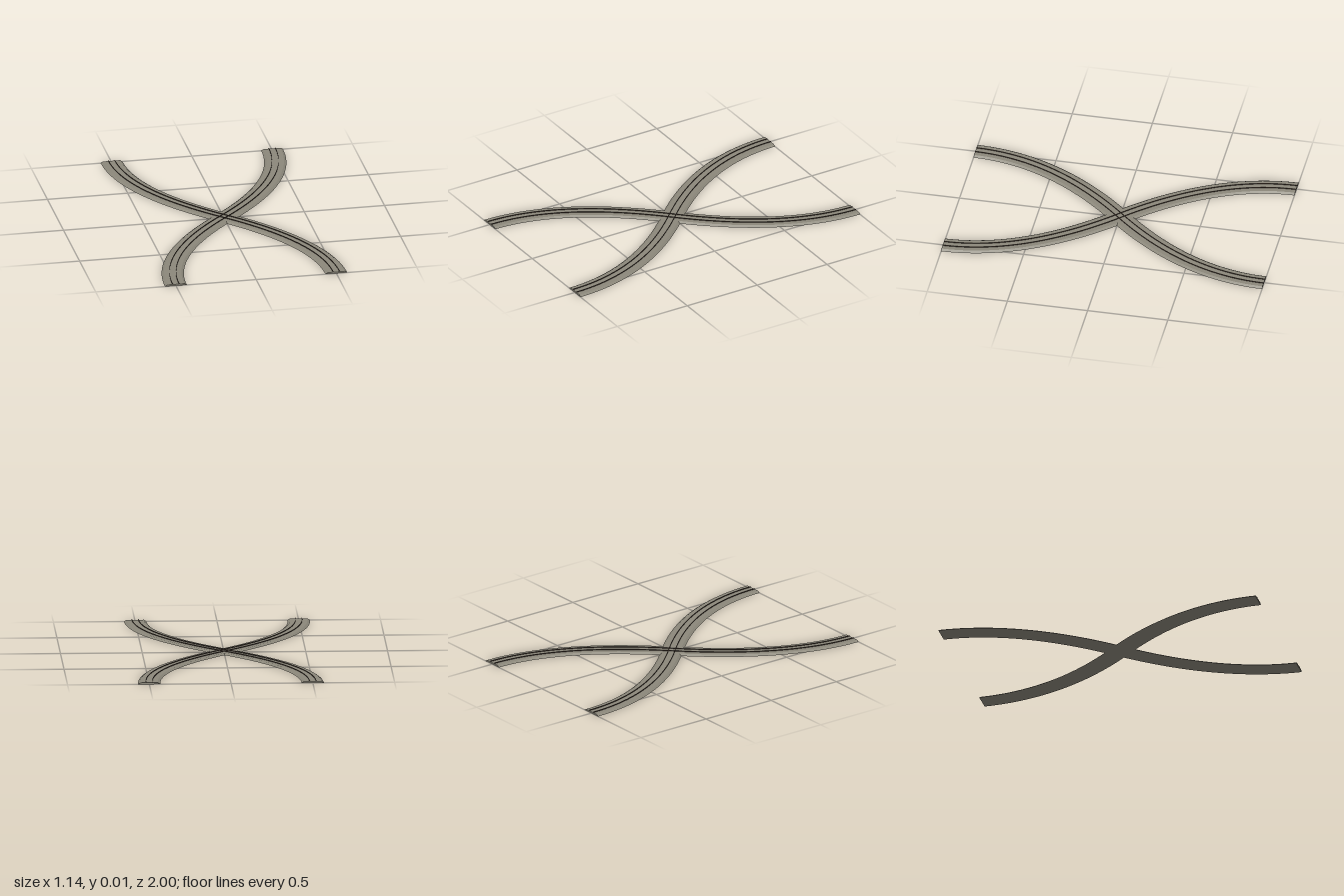
import * as THREE from 'three';

const STEPS = 48;

// S-shaped centre line made of two mirrored parabolas; side = 1 or -1
function pathPoint(z, side) {
  const k = 1 - Math.abs(z);
  const x = Math.sign(z) * (0.5 - 0.5 * k * k) * side;
  const slope = k * side;
  const len = Math.hypot(slope, 1);
  return { x, z, nx: 1 / len, nz: -slope / len };
}

// Sweeps a convex counter-clockwise section [across, up] along the path:
// creased along the section's corners, smooth along the curve
function sweep(section, side) {
  const pos = [], index = [];
  const put = (p, [u, y]) => pos.push(p.x + p.nx * u, y, p.z + p.nz * u);
  const path = [];
  for (let i = 0; i <= STEPS; i++) path.push(pathPoint(-1 + (2 * i) / STEPS, side));

  section.forEach((a, j) => {
    const b = section[(j + 1) % section.length];
    const base = pos.length / 3;
    path.forEach((p, i) => {
      put(p, a);
      put(p, b);
      if (i === STEPS) return;
      const q = base + i * 2;
      index.push(q, q + 1, q + 2, q + 1, q + 3, q + 2);
    });
  });

  // end caps
  [0, STEPS].forEach((end) => {
    const base = pos.length / 3;
    section.forEach((c) => put(path[end], c));
    for (let j = 1; j < section.length - 1; j++) {
      if (end) index.push(base, base + j, base + j + 1);
      else index.push(base, base + j + 1, base + j);
    }
  });

  const geo = new THREE.BufferGeometry();
  geo.setAttribute('position', new THREE.Float32BufferAttribute(pos, 3));
  geo.setIndex(index);
  geo.computeVertexNormals();
  return geo;
}

export function createModel() {
  const gravel = new THREE.MeshStandardMaterial({ color: 0x8c887b });
  gravel.name = 'gravel grey';
  const steel = new THREE.MeshStandardMaterial({ color: 0x43362e });
  steel.name = 'dark rail brown';

  const bedSection = [[-0.068, 0], [0.068, 0], [0.053, 0.01], [-0.053, 0.01]];
  const railSection = (c) => [
    [c - 0.0012, 0.009], [c + 0.0012, 0.009], [c + 0.0012, 0.015], [c - 0.0012, 0.015],
  ];

  const model = new THREE.Group();
  model.name = 'crossingTracks';
  for (const side of [1, -1]) {
    const track = new THREE.Group();
    track.name = side > 0 ? 'firstTrack' : 'secondTrack';

    // sloped ballast bed
    const bed = new THREE.Mesh(sweep(bedSection, side), gravel);
    bed.name = 'trackBed';
    track.add(bed);

    // pair of thin rails
    for (const c of [-0.02, 0.02]) {
      const rail = new THREE.Mesh(sweep(railSection(c), side), steel);
      rail.name = c > 0 ? 'leftRail' : 'rightRail';
      track.add(rail);
    }
    model.add(track);
  }
  return model;
}
